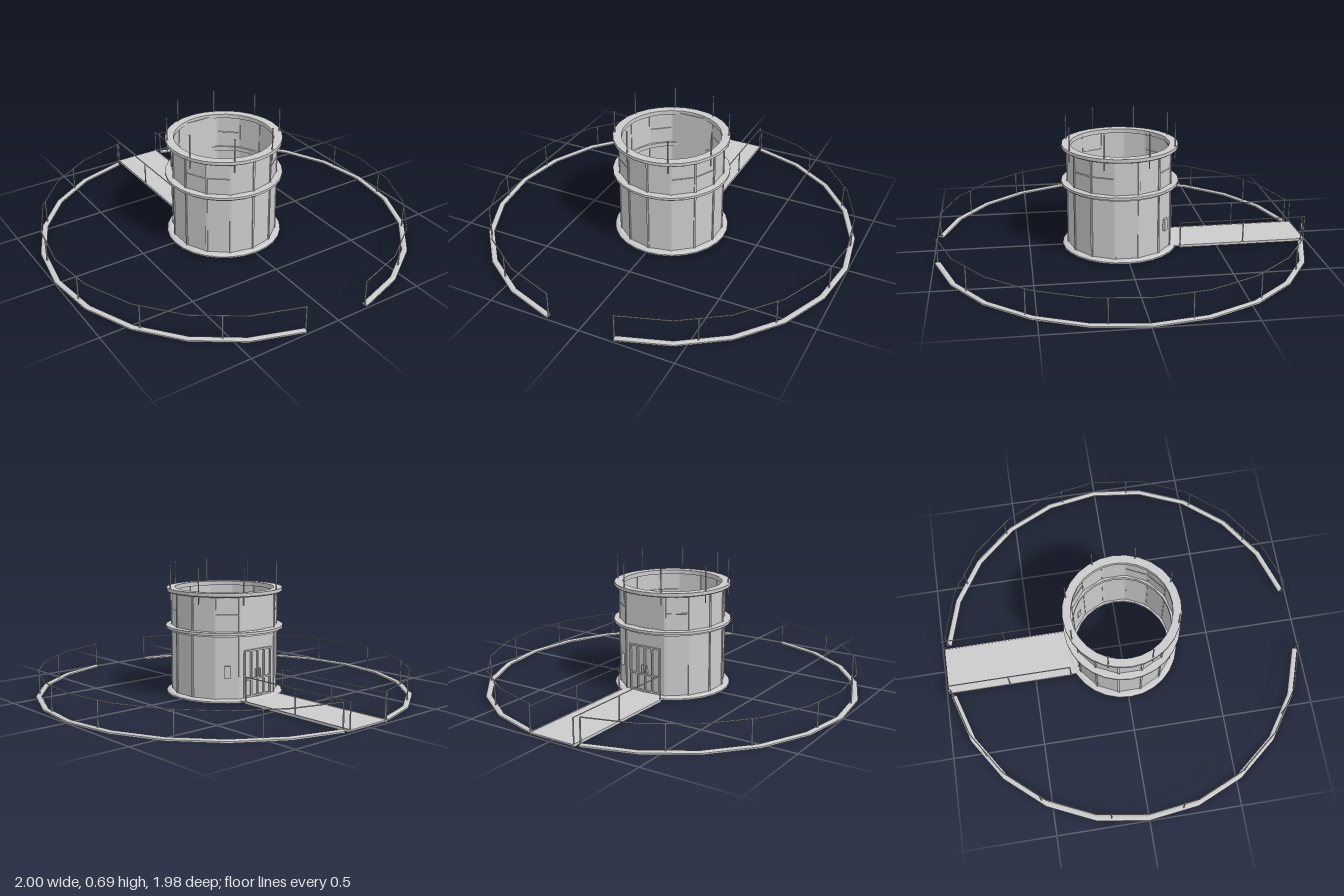
import * as THREE from 'three';

const CZ = 0.01;                       // centre of the round parts along z
const SIDES = 14, STEP = (Math.PI * 2) / SIDES, WALL_R = 0.28;
const RAIL_Y = 0.14, PATH_R = 0.985;
const rad = THREE.MathUtils.degToRad;
const mat = new THREE.MeshStandardMaterial({ color: 0xcccccc, flatShading: true, side: THREE.DoubleSide });

const polar = (a, r, y) => new THREE.Vector3(r * Math.sin(a), y, CZ + r * Math.cos(a));

function add(parent, name, geo, x = 0, y = 0, z = 0) {
  const m = new THREE.Mesh(geo, mat);
  m.name = name;
  m.position.set(x, y, z);
  parent.add(m);
  return m;
}

// Thin round bar between two points
function bar(parent, name, a, b, r = 0.003) {
  const d = b.clone().sub(a);
  const m = add(parent, name, new THREE.CylinderGeometry(r, r, d.length(), 6));
  m.position.copy(a).add(b).multiplyScalar(0.5);
  m.quaternion.setFromUnitVectors(new THREE.Vector3(0, 1, 0), d.normalize());
  return m;
}

// Swept profile around the tower axis, as [radius, y] pairs
function ring(parent, name, profile, segs, start = 0, length = Math.PI * 2) {
  const pts = [...profile, profile[0]].map(([r, y]) => new THREE.Vector2(r, y));
  return add(parent, name, new THREE.LatheGeometry(pts, segs, start, length), 0, 0, CZ);
}

function buildTower() {
  const g = new THREE.Group();
  g.name = 'tower';

  // Faceted wall, open at the two rear facets where the door sits
  const wall = [new THREE.Vector2(WALL_R, 0), new THREE.Vector2(WALL_R, 0.55)];
  add(g, 'wall', new THREE.LatheGeometry(wall, SIDES - 2, 8 * STEP, 12 * STEP), 0, 0, CZ);

  // Corner posts
  for (let i = 0; i < SIDES; i++) {
    if (i === 7) continue;
    const p = polar(i * STEP, WALL_R, 0.275);
    add(g, 'cornerPost', new THREE.BoxGeometry(0.01, 0.55, 0.008), p.x, p.y, p.z).rotation.y = i * STEP;
  }

  // Window transoms on the side facets
  for (const i of [1, 2, 5, 8, 11, 12])
    bar(g, 'windowTransom', polar(i * STEP, WALL_R, 0.45), polar((i + 1) * STEP, WALL_R, 0.45), 0.003);

  // Flanges at the base, window sill and roof edge
  ring(g, 'baseFlange', [[0.265, 0], [0.31, 0], [0.31, 0.008], [0.295, 0.015], [0.265, 0.015]], 28);
  ring(g, 'sillFlange', [[0.265, 0.34], [0.3, 0.34], [0.3, 0.35], [0.313, 0.35], [0.313, 0.363], [0.265, 0.363]], 28);
  ring(g, 'roofFlange', [[0.263, 0.54], [0.3, 0.54], [0.308, 0.546], [0.308, 0.563], [0.263, 0.563]], 28);

  // Aerials around the roof edge
  for (let i = 0; i < 8; i++) {
    const a = rad(22.5 + 45 * i);
    bar(g, 'aerial', polar(a, 0.298, 0.5), polar(a, 0.298, 0.685), 0.0035);
    add(g, 'aerialTip', new THREE.SphereGeometry(0.005, 6, 4)).position.copy(polar(a, 0.298, 0.682));
  }

  // Flat rear bay with a framed double door
  const dz = CZ + WALL_R * Math.cos(6 * STEP), hw = WALL_R * Math.sin(6 * STEP);
  add(g, 'rearPanel', new THREE.BoxGeometry(hw * 2, 0.55, 0.004), 0, 0.275, dz);
  for (const x of [-0.09, -0.045, 0, 0.045, 0.09])
    add(g, 'doorUpright', new THREE.BoxGeometry(0.008, 0.25, 0.012), x, 0.135, dz - 0.005);
  for (const y of [0.02, 0.11, 0.26])
    add(g, 'doorRail', new THREE.BoxGeometry(0.188, 0.008, 0.012), 0, y, dz - 0.005);
  for (const s of [-1, 1])
    add(g, 'doorHandle', new THREE.BoxGeometry(0.005, 0.04, 0.012), s * 0.014, 0.14, dz - 0.01);

  // Entry control box beside the door
  const a = 5.5 * STEP, p = polar(a, 0.278, 0.155);
  add(g, 'controlBox', new THREE.BoxGeometry(0.03, 0.065, 0.016), p.x, p.y, p.z).rotation.y = a;
  return g;
}

// One half of the perimeter walkway with its railing
function buildWalkway() {
  const g = new THREE.Group();
  g.name = 'walkway';
  const start = rad(10.5), len = rad(160.7), segs = 10, posts = 7;
  ring(g, 'kerb', [[0.97, 0], [1, 0], [1, 0.008], [0.992, 0.013], [0.978, 0.013], [0.97, 0.008]], segs, start, len);
  const corner = (i, y) => polar(start + (len * i) / segs, PATH_R, y);
  for (let i = 0; i < segs; i++) bar(g, 'handrail', corner(i, RAIL_Y), corner(i + 1, RAIL_Y));
  for (let i = 0; i <= posts; i++) {
    const t = (i * segs) / posts, k = Math.min(Math.floor(t), segs - 1);
    const p = corner(k, 0).lerp(corner(k + 1, 0), t - k);
    bar(g, 'railPost', p, p.clone().setY(RAIL_Y), 0.004);
  }
  return g;
}

// Straight gangway from the rear door to the perimeter
function buildGangway() {
  const g = new THREE.Group();
  g.name = 'gangway';
  const z0 = -0.99, z1 = -0.3;
  add(g, 'deck', new THREE.BoxGeometry(0.26, 0.008, 0.75), 0, 0.008, z0 + 0.375);
  for (const x of [-0.13, 0.13]) {
    const at = (y, z) => new THREE.Vector3(x, y, z);
    add(g, 'deckEdge', new THREE.BoxGeometry(0.006, 0.014, z1 - z0), x, 0.007, (z0 + z1) / 2);
    bar(g, 'handrail', at(RAIL_Y, z0 + 0.003), at(RAIL_Y, z1));
    for (const z of [z0 + 0.004, (z0 + z1) / 2, z1]) bar(g, 'railPost', at(0, z), at(RAIL_Y, z), 0.0035);
  }
  return g;
}

export function createModel() {
  const model = new THREE.Group();
  model.name = 'towerWithWalkway';
  const left = buildWalkway(), right = buildWalkway();
  left.name = 'leftWalkway';
  right.name = 'rightWalkway';
  right.scale.x = -1;
  model.add(buildTower(), left, right, buildGangway());
  return model;
}
